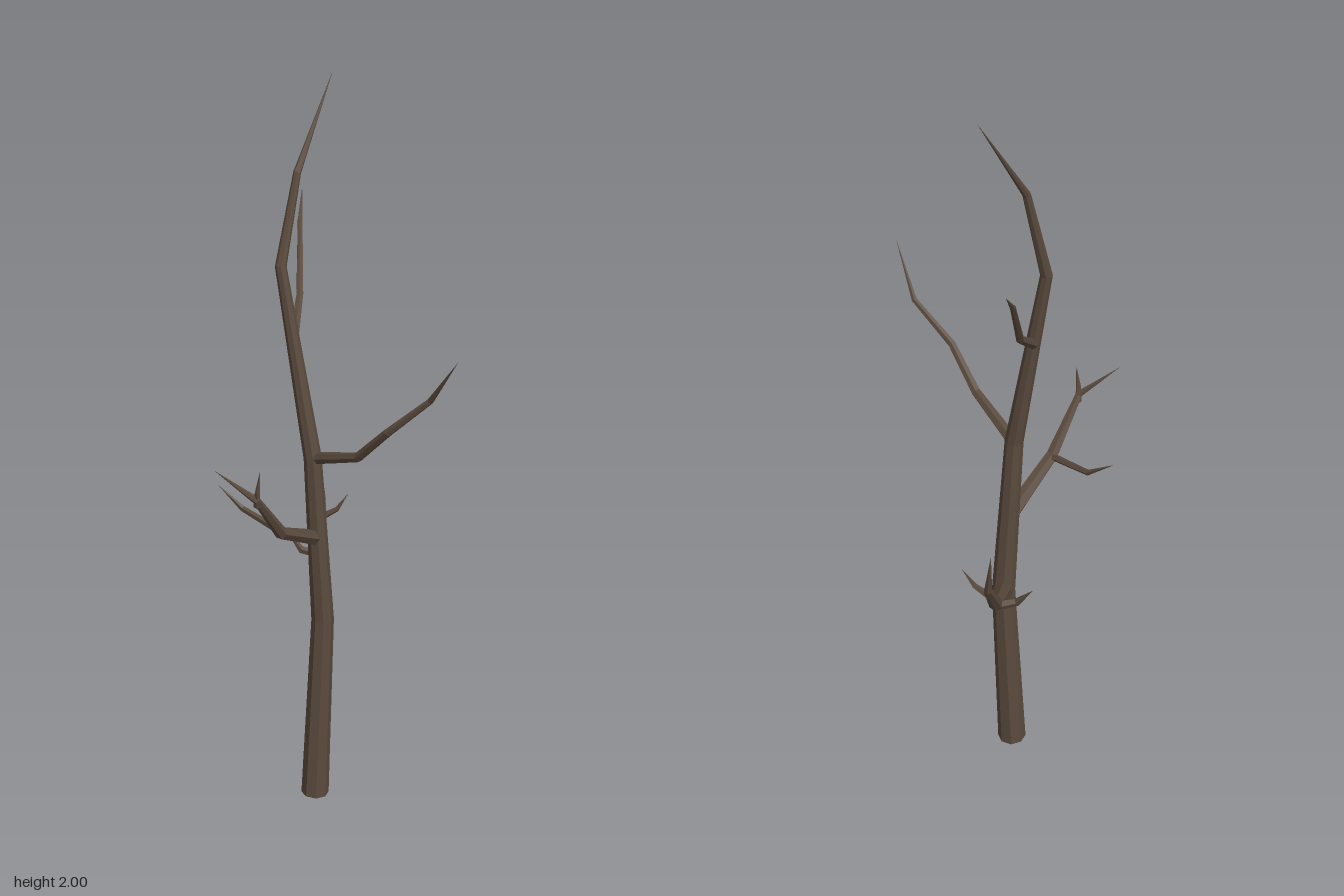
import * as THREE from 'three';

const bark = new THREE.MeshStandardMaterial({ color: 0x5a4a3d });
bark.name = 'bark';

// Faceted tapering limb through points [x, y, z, radius]; flat start cap, pointed end
function limb(name, sides, points) {
  const centers = points.map(p => new THREE.Vector3(p[0], p[1], p[2]));
  const last = points.length - 1;
  const positions = [], index = [];
  const normal = new THREE.Vector3(1, 0, 0.01);
  centers.forEach((c, i) => {
    const tangent = new THREE.Vector3();
    if (i > 0) tangent.add(c.clone().sub(centers[i - 1]).normalize());
    if (i < last) tangent.add(centers[i + 1].clone().sub(c).normalize());
    tangent.normalize();
    if (i === 0 && Math.abs(tangent.x) > 0.8) normal.set(0, 0, 1);
    normal.addScaledVector(tangent, -normal.dot(tangent)).normalize();
    const side = new THREE.Vector3().crossVectors(tangent, normal);
    for (let k = 0; k < sides; k++) {
      const a = (k / sides) * Math.PI * 2;
      const v = c.clone()
        .addScaledVector(normal, Math.cos(a) * points[i][3])
        .addScaledVector(side, Math.sin(a) * points[i][3]);
      positions.push(v.x, v.y, v.z);
    }
  });
  for (let i = 0; i < last; i++) {
    for (let k = 0; k < sides; k++) {
      const a = i * sides + k, b = i * sides + (k + 1) % sides;
      index.push(a, b, b + sides);
      if (points[i + 1][3] > 0) index.push(a, b + sides, a + sides);
      else index[index.length - 1] = a + sides;
    }
  }
  for (let k = 1; k < sides - 1; k++) index.push(0, k + 1, k);
  const indexed = new THREE.BufferGeometry();
  indexed.setAttribute('position', new THREE.Float32BufferAttribute(positions, 3));
  indexed.setIndex(index);
  const geometry = indexed.toNonIndexed();
  geometry.computeVertexNormals();
  const mesh = new THREE.Mesh(geometry, bark);
  mesh.name = name;
  return mesh;
}

export function createModel() {
  const tree = new THREE.Group();
  tree.name = 'bareTree';
  tree.add(
    // Trunk, bending back and then to the side at the top
    limb('trunk', 8, [
      [0.043, 0, -0.106, 0.039], [0.067, 0.55, -0.096, 0.031],
      [0.045, 1.03, -0.11, 0.024], [0.025, 1.54, -0.196, 0.015],
      [0.088, 1.77, -0.193, 0.010], [0.25, 2, -0.21, 0]]),
    // Low branch with two twigs
    limb('lowBranch', 6, [
      [0.07, 0.55, -0.1, 0.027], [0.21, 0.66, -0.225, 0.019],
      [0.285, 0.78, -0.278, 0.011], [0.306, 0.92, -0.313, 0]]),
    limb('lowInnerTwig', 5, [
      [0.21, 0.655, -0.225, 0.014], [0.172, 0.67, -0.262, 0.011], [0.157, 0.725, -0.305, 0]]),
    limb('lowOuterTwig', 5, [
      [0.265, 0.74, -0.262, 0.010], [0.285, 0.765, -0.227, 0.007], [0.304, 0.815, -0.2, 0]]),
    // Middle branch with two twigs
    limb('middleBranch', 6, [
      [0.05, 0.8, -0.105, 0.022], [-0.125, 0.885, -0.073, 0.017],
      [-0.235, 1.02, -0.057, 0.010], [-0.31, 1.107, -0.13, 0]]),
    limb('middleBackTwig', 5, [
      [-0.12, 0.885, -0.075, 0.010], [-0.115, 0.91, -0.215, 0.008], [-0.132, 0.967, -0.292, 0]]),
    limb('middleEndTwig', 5, [
      [-0.23, 1.0, -0.06, 0.009], [-0.236, 1.04, -0.053, 0.007], [-0.237, 1.102, -0.042, 0]]),
    // Long branch reaching forward
    limb('frontBranch', 6, [
      [0.047, 1.03, -0.11, 0.017], [0.022, 1.085, 0.06, 0.013], [0.015, 1.18, 0.16, 0.011],
      [0.05, 1.28, 0.265, 0.008], [0.025, 1.41, 0.363, 0]]),
    // High branch reaching back
    limb('highBranch', 6, [
      [0.035, 1.34, -0.165, 0.014], [0.143, 1.43, -0.235, 0.010],
      [0.245, 1.595, -0.32, 0.007], [0.308, 1.665, -0.366, 0]]),
  );
  return tree;
}
